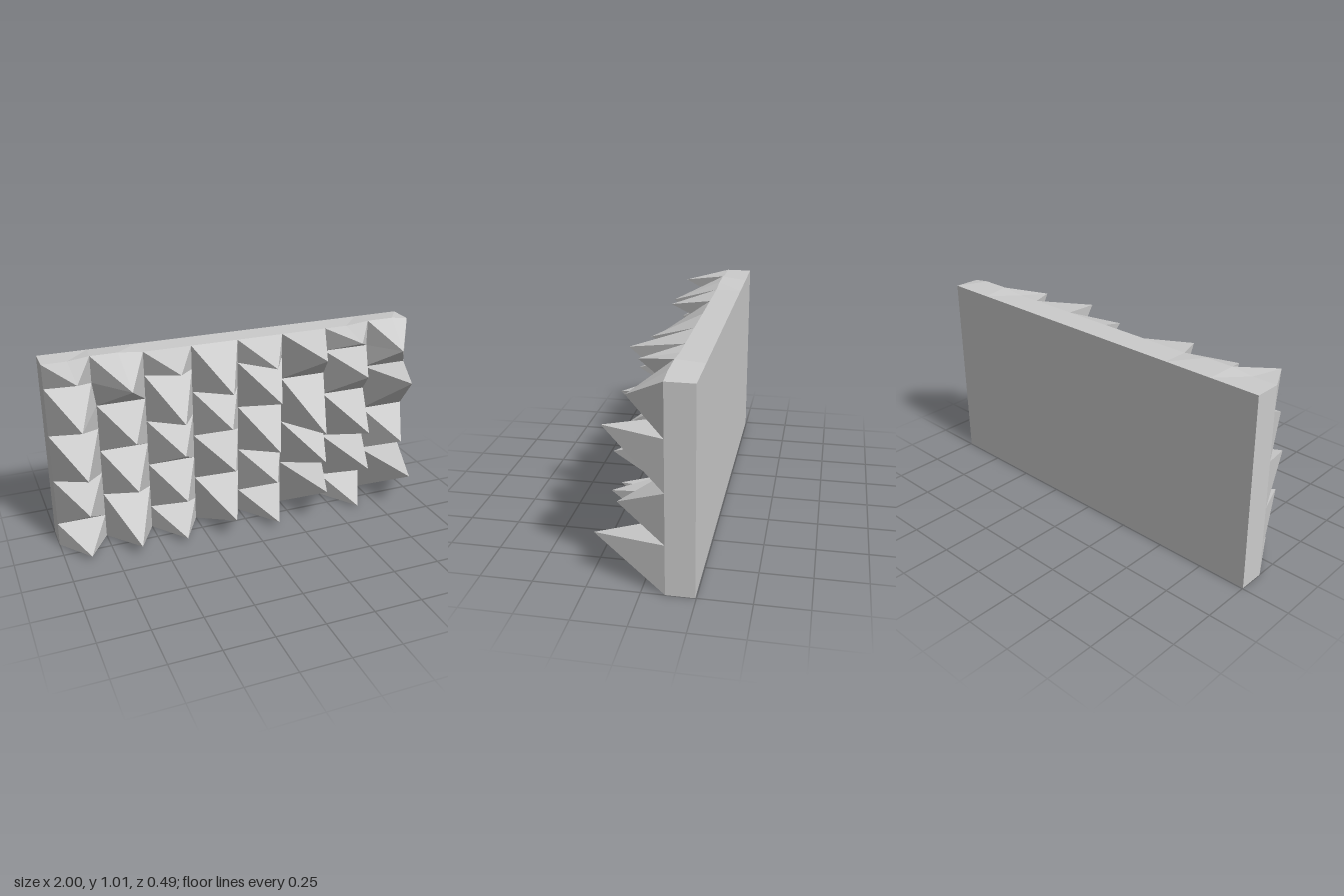
import * as THREE from 'three';

const BACK = -0.245, FRONT = -0.11;

// Slight unevenness of the upper rim
function nudge(x, y) {
  const near = (a, b) => Math.abs(a - b) < 0.01;
  if (y < 0.87) return [x, y];
  const top = y > 0.99 ? 0.013 : 0;
  if (near(x, -0.75)) return [x - 0.016, y + top];
  if (near(x, -0.625)) return [x, y + top];
  if (near(x, 0.75)) return [x + 0.006, y + top];
  if (near(x, 0.875)) return [x + (top ? 0.03 : 0), y + top];
  return [x, y];
}

// Tips [y, z] of each column, bottom to top; columns of five start and end with a half spike
const columns = [
  [[0.035, 0.12], [0.295, 0.17], [0.5, 0.2], [0.73, 0.15], [0.96, 0.12]],
  [[0.065, 0.17], [0.375, 0.16], [0.64, 0.17], [0.9, 0.15]],
  [[0.04, 0.14], [0.27, 0.16], [0.52, 0.15], [0.7, 0.17], [0.94, 0.12]],
  [[0.125, 0.2], [0.41, 0.19], [0.625, 0.15], [0.82, 0.17]],
  [[0.05, 0.18], [0.275, 0.15], [0.465, 0.18], [0.74, 0.19], [0.905, 0.13]],
  [[0.21, 0.235], [0.375, 0.21], [0.535, 0.2], [0.93, 0.18]],
  [[0.02, 0.13], [0.295, 0.22], [0.5, 0.205], [0.8, 0.16], [0.96, 0.08]],
  [[0.21, 0.24], [0.375, 0.13], [0.74, 0.19], [0.885, 0.08]],
];

// Pyramid over a rectangle whose rim has corners and edge midpoints
function spikeGeometry(x0, y0, y1, tip) {
  const xm = x0 + 0.125, x1 = x0 + 0.25, ym = (y0 + y1) / 2;
  const rim = [[x0, y0], [xm, y0], [x1, y0], [x1, ym], [x1, y1], [xm, y1], [x0, y1], [x0, ym]]
    .map(([x, y]) => nudge(x, y));
  const pos = [];
  rim.forEach((a, i) => {
    const b = rim[(i + 1) % rim.length];
    pos.push(...a, FRONT, ...b, FRONT, xm, ...tip);
  });
  const g = new THREE.BufferGeometry();
  g.setAttribute('position', new THREE.Float32BufferAttribute(pos, 3));
  g.computeVertexNormals();
  return g;
}

export function createModel() {
  const model = new THREE.Group();
  model.name = 'spikedPanel';
  const grey = new THREE.MeshStandardMaterial({ color: 0xcccccc, flatShading: true });

  // Backing slab with its front rim matched to the spikes
  const slab = new THREE.BoxGeometry(2, 1, FRONT - BACK, 16, 1, 1);
  slab.translate(0, 0.5, (FRONT + BACK) / 2);
  const p = slab.attributes.position;
  for (let i = 0; i < p.count; i++) {
    if (p.getZ(i) > FRONT - 0.01) p.setXY(i, ...nudge(p.getX(i), p.getY(i)));
  }
  slab.computeVertexNormals();
  const backing = new THREE.Mesh(slab, grey);
  backing.name = 'backing';
  model.add(backing);

  // Staggered columns of spikes
  columns.forEach((tips, c) => {
    const column = new THREE.Group();
    column.name = `spikeColumn${c + 1}`;
    const start = tips.length === 5 ? -0.125 : 0;
    tips.forEach((tip, r) => {
      const y0 = Math.max(0, start + r * 0.25);
      const y1 = Math.min(1, start + (r + 1) * 0.25);
      const spike = new THREE.Mesh(spikeGeometry(-1 + c * 0.25, y0, y1, tip), grey);
      spike.name = 'spike';
      column.add(spike);
    });
    model.add(column);
  });
  return model;
}
